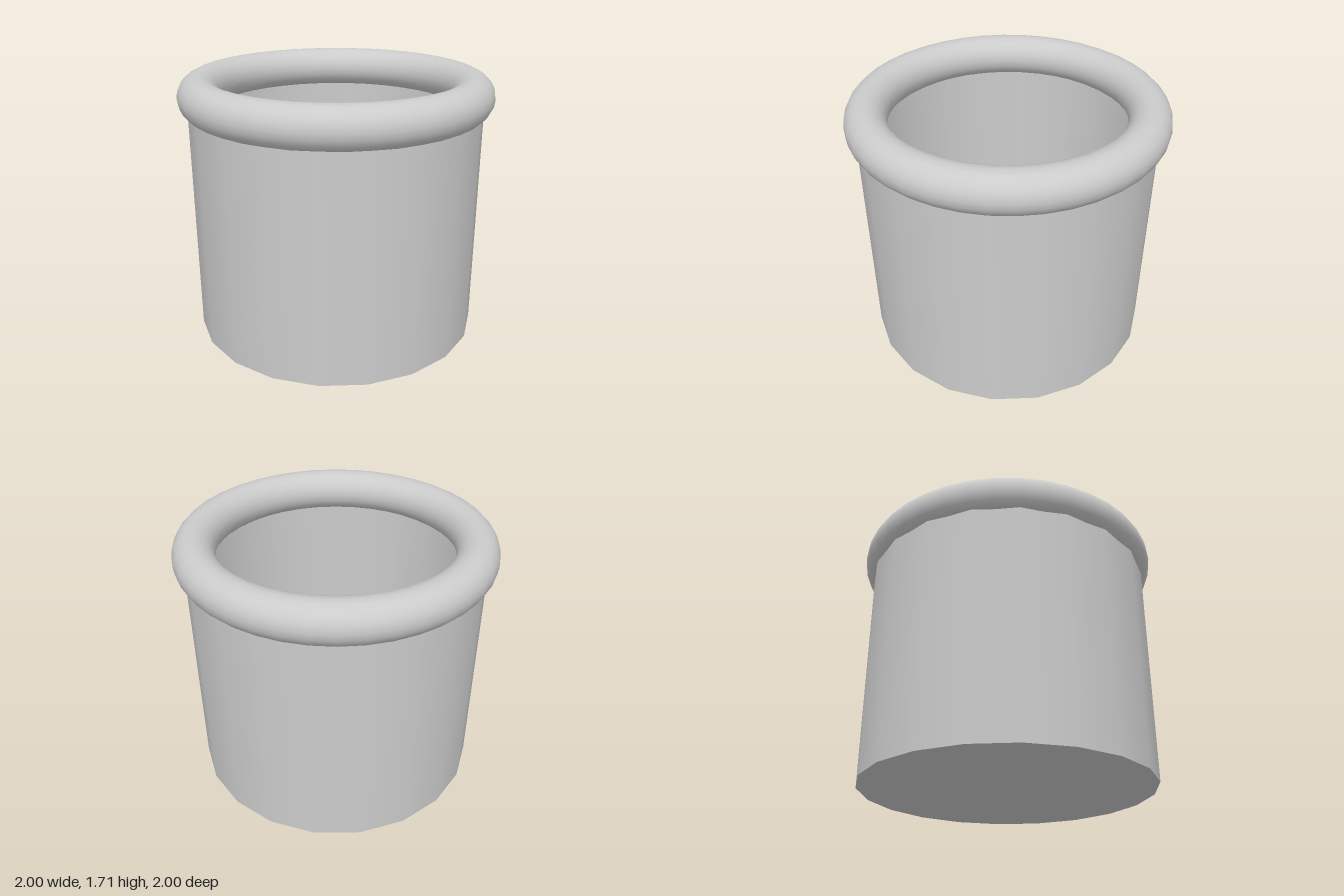
import * as THREE from 'three';

export function createModel() {
  const group = new THREE.Group();
  const sides = 20, radius = 0.94, rimHeight = 1.576;
  const material = new THREE.MeshStandardMaterial({ color: 0xcccccc });
  const thin = new THREE.MeshStandardMaterial({ color: 0xcccccc, side: THREE.DoubleSide });

  const add = (name, geometry, mat, y) => {
    const mesh = new THREE.Mesh(geometry, mat);
    mesh.name = name;
    mesh.position.y = y;
    group.add(mesh);
  };

  // Hollow, thin-walled body, open at the top
  add('wall', new THREE.CylinderGeometry(radius, radius, rimHeight, sides, 1, true), thin, rimHeight / 2);

  // Flat bottom, seen from below and from inside
  add('floor', new THREE.CircleGeometry(radius, sides).rotateX(-Math.PI / 2), thin, 0);

  // Thick rolled rim
  add('rim', new THREE.TorusGeometry(0.869, 0.131, 20, 40).rotateX(-Math.PI / 2), material, rimHeight);

  return group;
}
